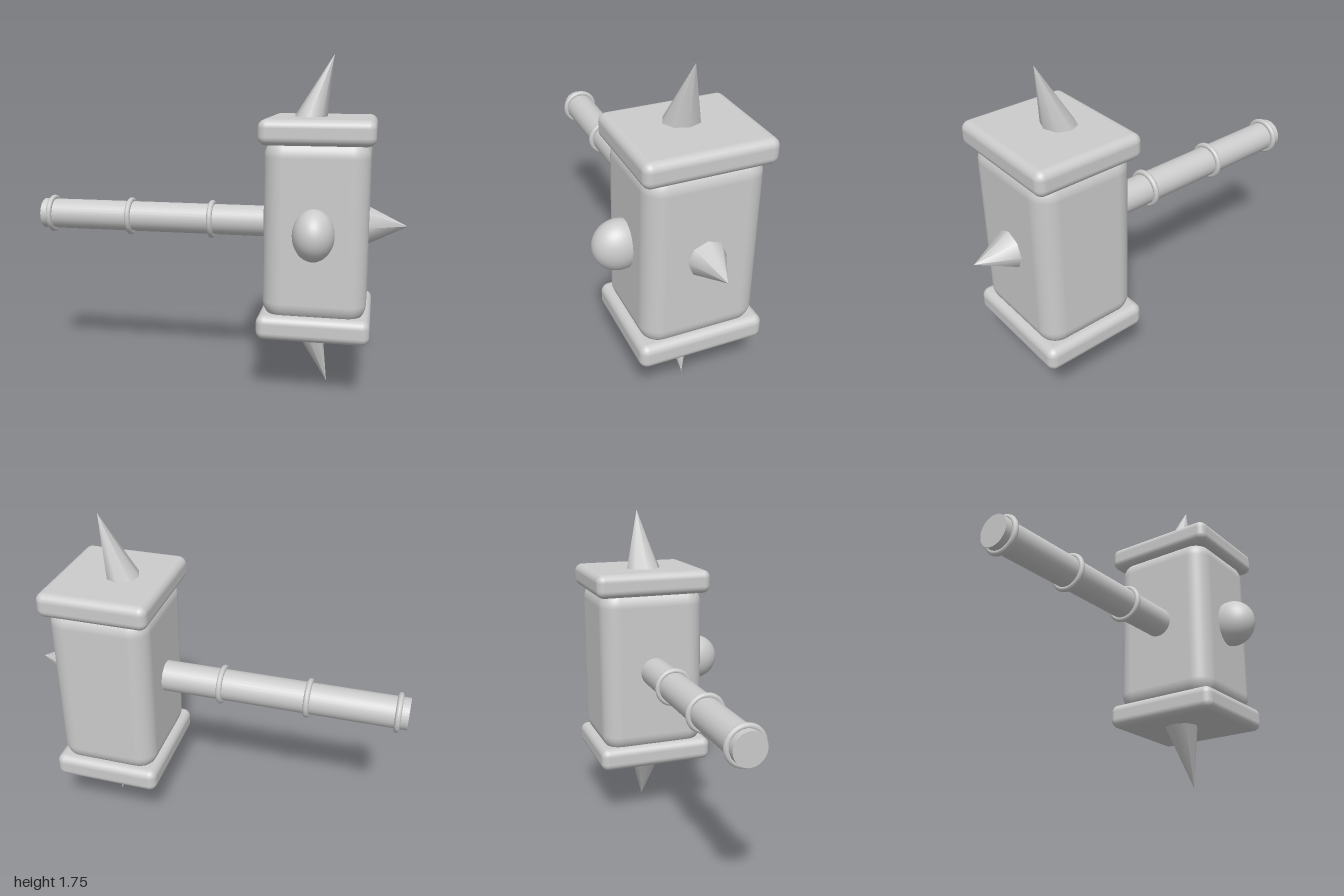
import * as THREE from 'three';
import { RoundedBoxGeometry } from 'three/addons/geometries/RoundedBoxGeometry.js';

const CX = 0.538, CY = 0.875, CZ = -0.067;

export function createModel() {
  const group = new THREE.Group();
  const material = new THREE.MeshStandardMaterial({ color: 0xcccccc });

  function add(name, geometry, x, y, z) {
    const mesh = new THREE.Mesh(geometry, material);
    mesh.name = name;
    mesh.position.set(x, y, z);
    group.add(mesh);
    return mesh;
  }

  // Hammer head: soft block whose rounded ends sink into the end plates
  add('headBlock', new RoundedBoxGeometry(0.526, 0.94, 0.592, 6, 0.1), CX, CY, CZ);

  for (const side of [1, -1]) {
    const end = side > 0 ? 'top' : 'bottom';
    add(end + 'Plate', new RoundedBoxGeometry(0.572, 0.128, 0.652, 5, 0.042), CX, CY + side * 0.495, CZ);

    // Leaning spike: a cone sheared so its tip points away from the handle
    const spike = new THREE.ConeGeometry(0.1, 0.33, 8, 1);
    spike.rotateY(Math.PI / 8 * 2);
    spike.scale(0.88, 1, 1);
    const shear = new THREE.Matrix4().set(
      1, 0.36, 0, 0,
      0, 1, 0, 0,
      0, 0, 1, 0,
      0, 0, 0, 1);
    spike.applyMatrix4(shear);
    const mesh = add(end + 'Spike', spike, 0.541, CY + side * 0.71, CZ);
    if (side < 0) mesh.rotation.x = Math.PI;
  }

  // Straight spike opposite the handle
  const sideSpike = new THREE.ConeGeometry(0.1, 0.2, 8, 1);
  sideSpike.rotateZ(-Math.PI / 2);
  add('sideSpike', sideSpike, 0.896, CY, CZ);

  // Oval boss on the front face
  const boss = new THREE.SphereGeometry(0.13, 32, 20);
  boss.scale(0.8, 1, 1);
  add('frontBoss', boss, CX, CY, 0.265);

  // Handle and its rings
  const handle = new THREE.CylinderGeometry(0.082, 0.082, 1.32, 32);
  handle.rotateZ(Math.PI / 2);
  add('handle', handle, -0.34, CY, CZ - 0.003);

  for (const x of [-0.948, -0.493, -0.037]) {
    const ring = new THREE.TorusGeometry(0.088, 0.015, 12, 40);
    ring.rotateY(Math.PI / 2);
    add('handleRing', ring, x, CY, CZ - 0.003);
  }

  return group;
}
